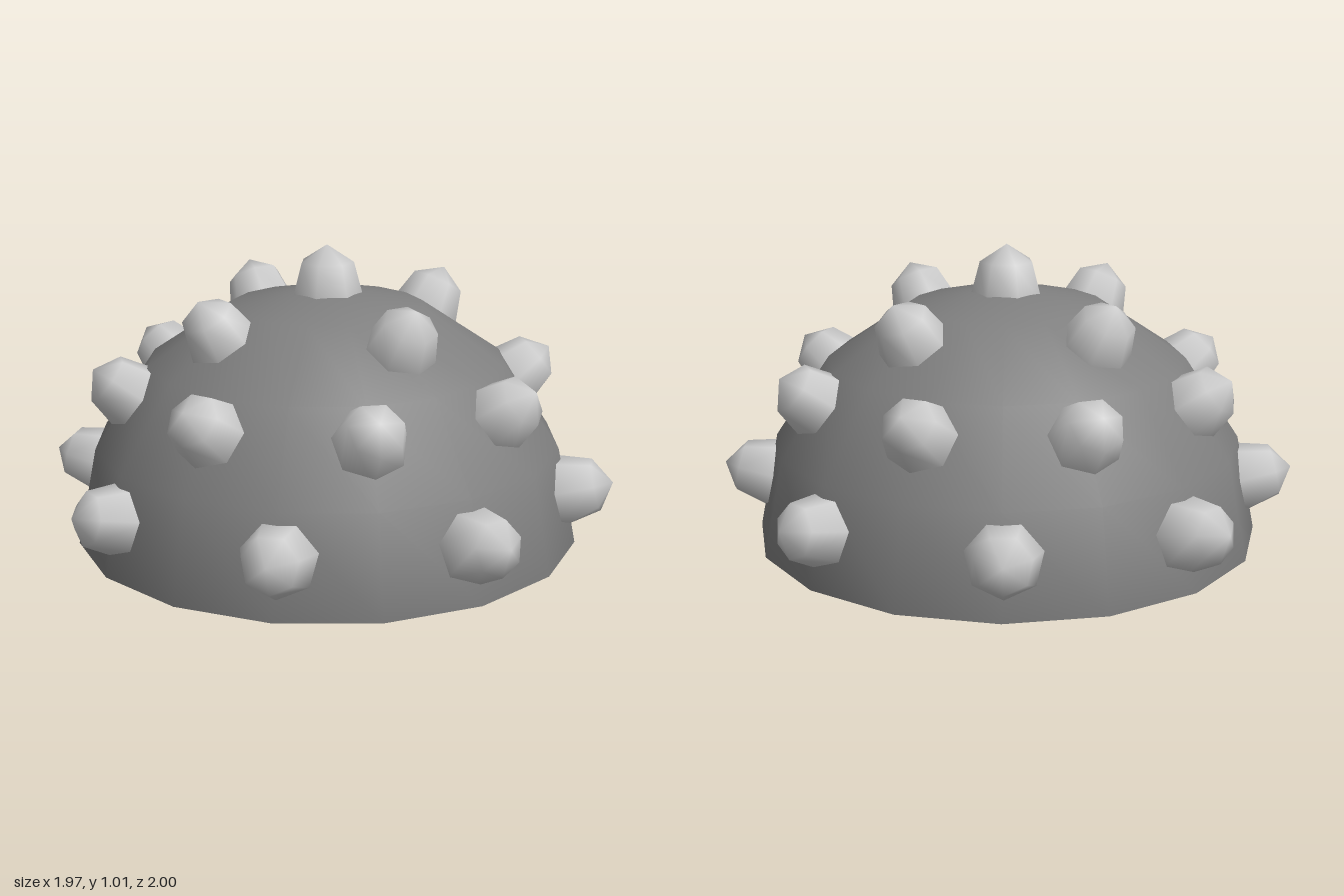
import * as THREE from 'three';

const DOME_RADIUS = 0.87;
const STUD_RADIUS = 0.13;
const STUD_HEIGHT = 0.2;
const TIP_DISTANCE = 1.01;

// Rings of studs: latitude, count and first azimuth in degrees
const RINGS = [
  { lat: 90, count: 1, start: 0 },
  { lat: 60, count: 4, start: 0 },
  { lat: 37.5, count: 8, start: 22.5 },
  { lat: 13, count: 8, start: 0 },
];

export function createModel() {
  const model = new THREE.Group();
  model.name = 'studdedDome';

  // Hollow half sphere, open at the bottom
  const dome = new THREE.Mesh(
    new THREE.SphereGeometry(DOME_RADIUS, 16, 4, 0, Math.PI * 2, 0, Math.PI / 2),
    new THREE.MeshStandardMaterial({ color: 0x808080, side: THREE.DoubleSide })
  );
  dome.name = 'dome';
  model.add(dome);

  // Seven-sided pointed stud, open underneath, its rim sunk through the shell
  const studGeometry = new THREE.SphereGeometry(STUD_RADIUS, 7, 2, Math.PI / 2, Math.PI * 2, 0, Math.PI / 2);
  studGeometry.scale(1, STUD_HEIGHT / STUD_RADIUS, 1);
  studGeometry.translate(0, TIP_DISTANCE - STUD_HEIGHT, 0);
  const studMaterial = new THREE.MeshStandardMaterial({ color: 0xcccccc, side: THREE.DoubleSide });

  const studs = new THREE.Group();
  studs.name = 'studs';
  for (const { lat, count, start } of RINGS) {
    for (let i = 0; i < count; i++) {
      const stud = new THREE.Mesh(studGeometry, studMaterial);
      stud.name = 'stud';
      // Tilt away from the pole, then turn around the vertical axis
      const azimuth = THREE.MathUtils.degToRad(start + (i * 360) / count);
      stud.rotation.set(THREE.MathUtils.degToRad(90 - lat), azimuth, 0, 'YXZ');
      // The lowest studs stand out slightly more at front and back
      if (lat === 13) stud.position.z = 0.014 * Math.cos(azimuth);
      studs.add(stud);
    }
  }
  model.add(studs);

  return model;
}
